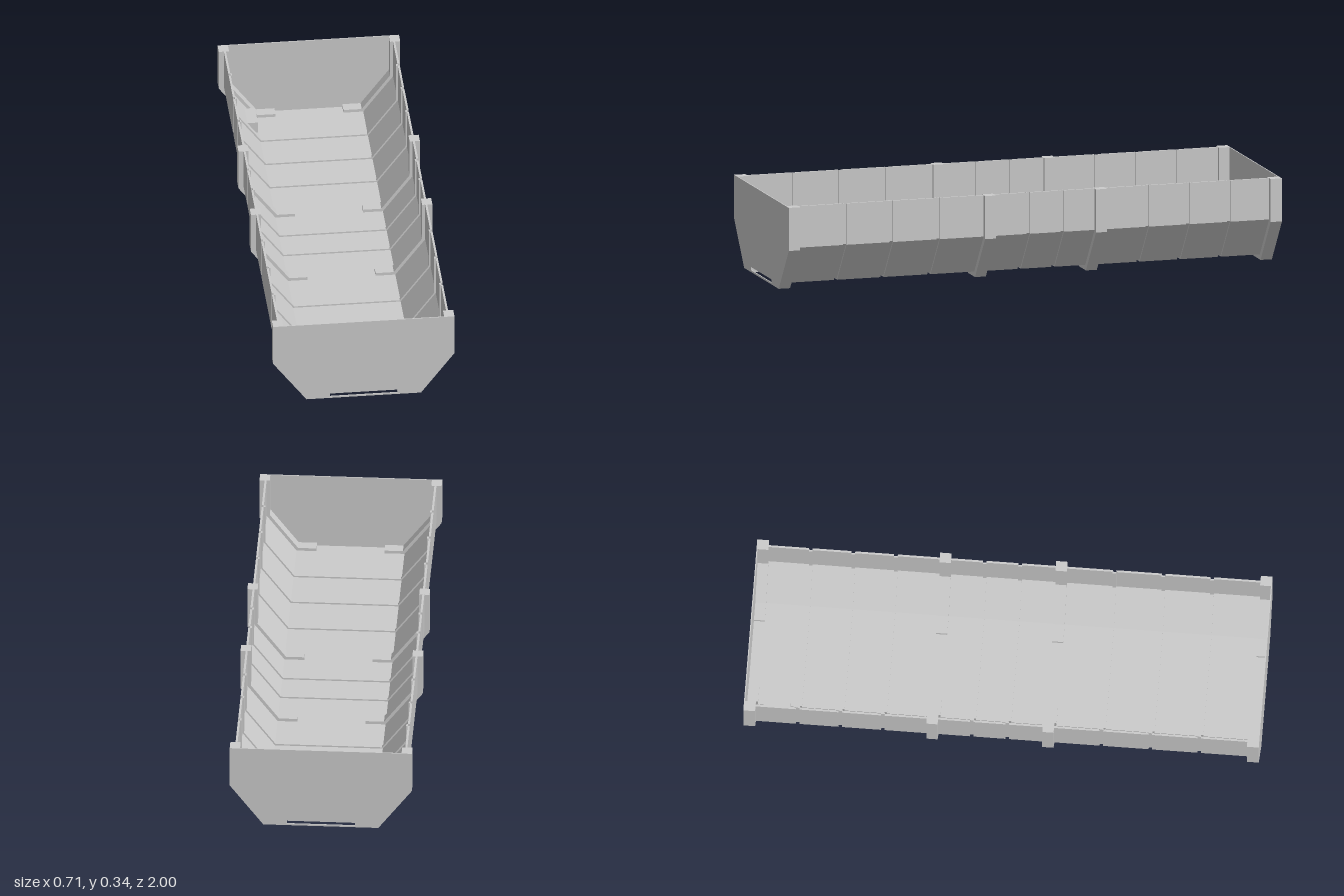
import * as THREE from 'three';

const material = new THREE.MeshStandardMaterial({ color: 0xcccccc, flatShading: true, side: THREE.DoubleSide });
const TOP = 0.343;

// Half of the trough section, rim to floor, moved inward by d
const halfPath = (d) => [
  [0.333 - d, TOP],
  [0.333 - d, 0.18 + 0.337 * d],
  [0.213 - 0.496 * d, 0.02 + d],
];
const mirror = (points) => points.map(([x, y]) => [-x, y]).reverse();
const toShape = (points) => new THREE.Shape(points.map(([x, y]) => new THREE.Vector2(x, y)));

// Extrude a section between two z positions
function slab(name, shape, z0, z1) {
  const geometry = new THREE.ExtrudeGeometry(shape, { depth: z1 - z0, bevelEnabled: false });
  geometry.translate(0, 0, z0);
  const mesh = new THREE.Mesh(geometry, material);
  mesh.name = name;
  return mesh;
}

// Open trough section between two inward offsets
function troughShape(outer, inner) {
  const out = halfPath(outer), inn = halfPath(inner);
  return toShape([...out, ...mirror(out), ...mirror(inn).reverse(), ...inn.slice().reverse()]);
}

export function createModel() {
  const model = new THREE.Group();
  model.name = 'trough';

  // Wall and floor panels, parted by narrow recessed seams
  const seams = [-0.79, -0.625, -0.46, -0.115, 0.022, 0.388, 0.578, 0.767];
  const half = 0.007;
  const panelShape = troughShape(0, 0.008);
  const seamShape = troughShape(0.007, 0.014);
  let start = -0.998;
  for (const z of seams) {
    model.add(slab('panel', panelShape, start, z - half));
    model.add(slab('seam', seamShape, z - half, z + half));
    start = z + half;
  }
  model.add(slab('panel', panelShape, start, 0.998));

  // Bent ribs clasping the side walls, with feet under and over the floor
  const outer = halfPath(-0.02), inner = halfPath(0.02);
  const ribPoints = [...outer, [0.132, 0], [0.132, 0.04], ...inner.slice().reverse()];
  const ribShapes = { leftRib: toShape(ribPoints), rightRib: toShape(mirror(ribPoints)) };
  for (const z of [-0.976, -0.268, 0.182, 0.976]) {
    for (const [name, shape] of Object.entries(ribShapes)) {
      model.add(slab(name, shape, z - 0.022, z + 0.022));
    }
  }

  // End plates with a low slot
  const plate = toShape([...outer, ...mirror(outer)]);
  plate.holes.push(new THREE.Path([
    new THREE.Vector2(-0.132, 0.007), new THREE.Vector2(-0.132, 0.02),
    new THREE.Vector2(0.132, 0.02), new THREE.Vector2(0.132, 0.007),
  ]));
  model.add(slab('frontPlate', plate, 0.996, 1));
  model.add(slab('backPlate', plate, -1, -0.996));

  // Small block on the sloping wall
  const block = toShape([[-0.268, 0.09], [-0.215, 0.09], [-0.215, 0.045], [-0.234, 0.045]]);
  model.add(slab('wallBlock', block, -0.93, -0.826));

  return model;
}
